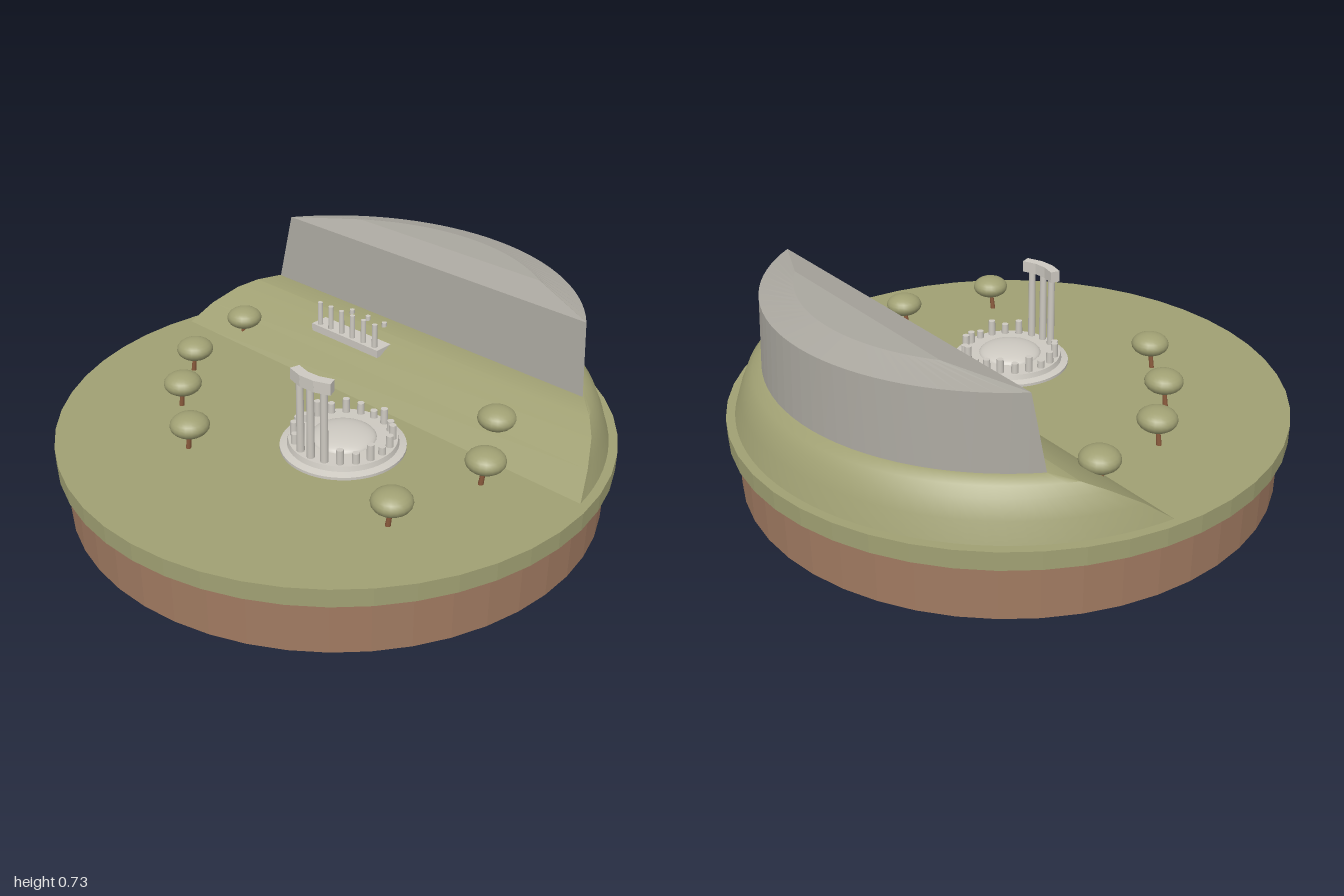
import * as THREE from 'three';
import { toCreasedNormals } from 'three/addons/utils/BufferGeometryUtils.js';

const mat = (name, color) => {
  const m = new THREE.MeshStandardMaterial({ color });
  m.name = name;
  return m;
};

// Loft through circle segments [radius, chord distance, height], closed by a flat cap
function segmentLoft(levels, count, crease) {
  const pos = [], idx = [], n = count + 1;
  for (const [r, d, y] of levels) {
    const a0 = Math.asin(d / r);
    for (let i = 0; i < n; i++) {
      const a = a0 + (Math.PI - 2 * a0) * i / count;
      pos.push(r * Math.cos(a), y, -r * Math.sin(a));
    }
  }
  for (let l = 0; l < levels.length - 1; l++) {
    for (let i = 0; i < n; i++) {
      const a = l * n + i, b = l * n + (i + 1) % n;
      idx.push(a, b, b + n, a, b + n, a + n);
    }
  }
  const top = (levels.length - 1) * n;
  for (let i = 1; i < n - 1; i++) idx.push(top, top + i, top + i + 1);
  const g = new THREE.BufferGeometry();
  g.setAttribute('position', new THREE.Float32BufferAttribute(pos, 3));
  g.setIndex(idx);
  return toCreasedNormals(g, crease);
}

export function createModel() {
  const model = new THREE.Group();
  const grass = mat('grass', 0xa0a073);
  const earth = mat('earth', 0xa07a61);
  const rock = mat('rock', 0xaaa79f);
  const marble = mat('marble', 0xcdc9c1);
  const bark = mat('bark', 0x8a5a3c);

  const add = (parent, name, geo, material, x = 0, y = 0, z = 0) => {
    const m = new THREE.Mesh(geo, material);
    m.name = name;
    m.position.set(x, y, z);
    parent.add(m);
    return m;
  };
  const group = (name, parent = model) => {
    const g = new THREE.Group();
    g.name = name;
    parent.add(g);
    return g;
  };

  // Round ground
  const faceted = (r, h) => toCreasedNormals(new THREE.CylinderGeometry(r, r, h, 48), 0.01);
  add(model, 'earthBase', faceted(0.97, 0.2), earth, 0, 0.1, 0);
  add(model, 'grassDisc', faceted(1, 0.065), grass, 0, 0.2325, 0);

  // Hillside and cliff, turned on the disc
  const hillside = group('hillside');
  hillside.rotation.y = -Math.PI / 9;
  add(hillside, 'hill', segmentLoft([
    [0.97, 0.12, 0.26], [0.945, 0.215, 0.335], [0.92, 0.31, 0.392],
    [0.895, 0.375, 0.422], [0.865, 0.44, 0.442],
  ], 48, 0.8), grass);
  add(hillside, 'cliff', segmentLoft([
    [0.862, 0.44, 0.435], [0.847, 0.472, 0.7], [0.73, 0.59, 0.73],
  ], 32, 0.01), rock);

  // Terrace with a row of columns on the slope
  const terrace = group('terrace', hillside);
  add(terrace, 'terraceFloor', new THREE.BoxGeometry(0.34, 0.03, 0.1), marble, -0.21, 0.39, -0.312);
  const shaft = (r, h) => new THREE.CylinderGeometry(r * 0.9, r, h, 12);
  for (let i = 0; i < 6; i++) {
    add(terrace, 'terraceColumn', shaft(0.011, 0.095), marble, -0.353 + i * 0.0566, 0.45, -0.281);
  }
  for (let i = 0; i < 3; i++) {
    add(terrace, 'slopeStub', shaft(0.011, 0.05), marble, -0.295 + i * 0.084, 0.42, -0.4);
  }

  // Round temple ruin
  const temple = group('roundTemple');
  temple.position.set(0.11, 0, 0.19);
  const podium = [[0.22, 0.26], [0.22, 0.275], [0.195, 0.282], [0.19, 0.3], [0.11, 0.302], [0, 0.302]];
  add(temple, 'podium', toCreasedNormals(new THREE.LatheGeometry(
    podium.map(([r, y]) => new THREE.Vector2(r, y)), 48), 0.7), marble);
  const dome = add(temple, 'dome',
    new THREE.SphereGeometry(0.117, 32, 10, 0, Math.PI * 2, 0, Math.PI / 2), marble, 0, 0.298, 0);
  dome.scale.y = 0.28;

  const ring = 0.17, step = Math.PI / 10, start = 1.54;
  const stubHeights = [0.045, 0.03, 0.06, 0.04, 0.055];
  for (let i = 0; i < 20; i++) {
    const a = start + i * step;
    const h = i < 3 ? 0.275 : stubHeights[i % 5];
    add(temple, i < 3 ? 'tallColumn' : 'columnStub', shaft(0.014, h), marble,
      ring * Math.cos(a), 0.298 + h / 2, ring * Math.sin(a));
  }
  for (let i = 0; i < 3; i++) {
    const a = start + i * step;
    const beam = add(temple, 'lintel', new THREE.BoxGeometry(0.06, 0.042, 0.036), marble,
      ring * Math.cos(a), 0.588, ring * Math.sin(a));
    beam.rotation.y = Math.PI / 2 - a;
  }

  // Trees
  const spots = [[-0.58, -0.4], [-0.625, -0.08], [-0.53, 0.175], [-0.36, 0.42],
    [0.585, -0.045], [0.63, 0.23], [0.435, 0.565]];
  for (const [x, z] of spots) {
    const tree = group('tree');
    tree.position.set(x, 0, z);
    const trunk = add(tree, 'trunk', new THREE.CylinderGeometry(0.007, 0.01, 0.09, 8), bark, -0.007, 0.3, 0);
    trunk.rotation.z = -0.12;
    add(tree, 'crown', new THREE.SphereGeometry(0.069, 20, 12), grass, 0, 0.36, 0).scale.y = 0.6;
  }
  return model;
}
